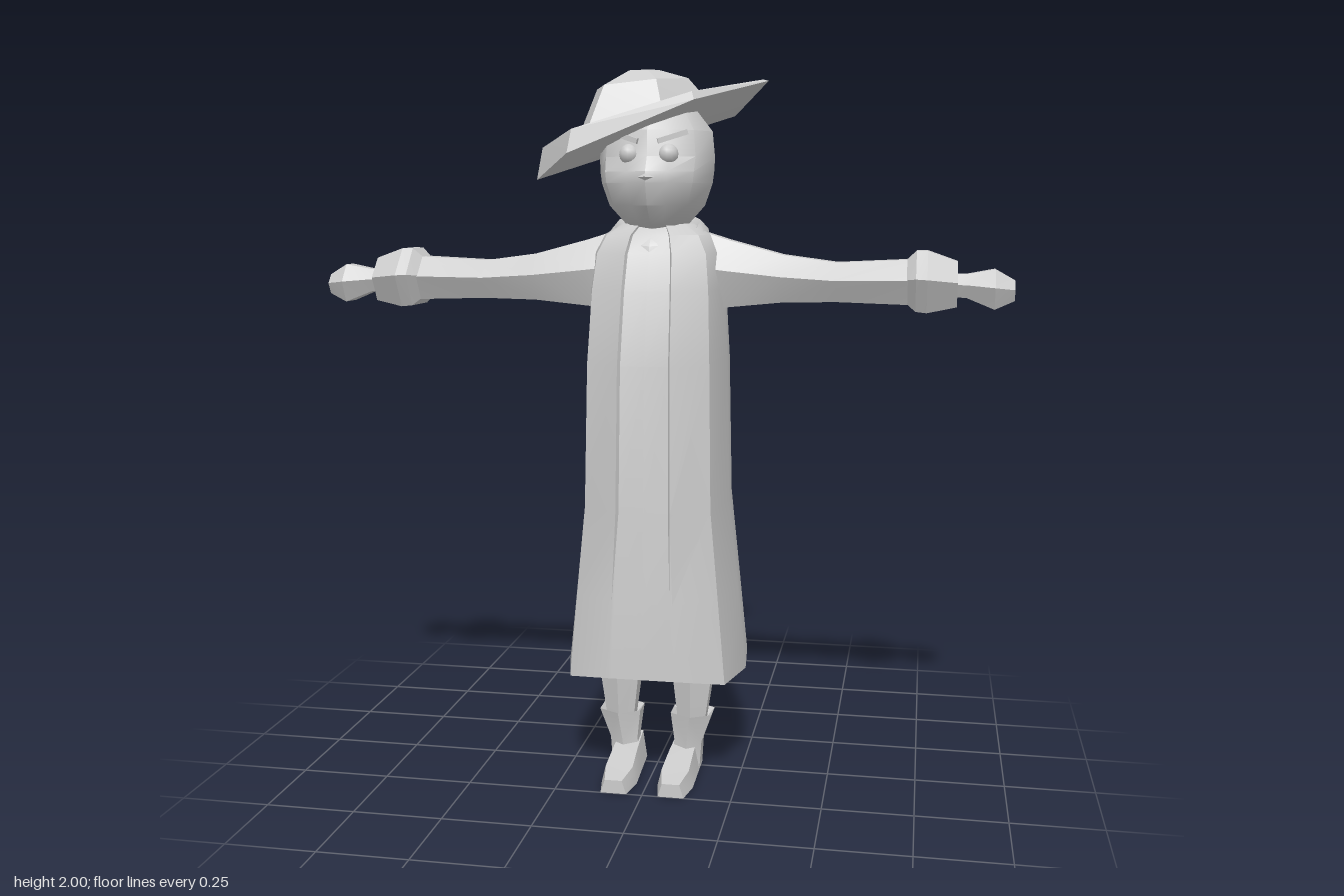
import * as THREE from 'three';
import { toCreasedNormals } from 'three/addons/utils/BufferGeometryUtils.js';

const cloth = new THREE.MeshStandardMaterial({ color: 0xcccccc, side: THREE.DoubleSide });
cloth.name = 'lightGrey';

// Skin closed rings of [x, y, z] points; winding is fixed by the signed volume.
function loft(rings, { start = true, end = true, crease = 0.6 } = {}) {
  const tris = [], n = rings[0].length;
  for (let i = 0; i < rings.length - 1; i++) {
    for (let j = 0; j < n; j++) {
      const k = (j + 1) % n, a = rings[i], b = rings[i + 1];
      tris.push([a[j], a[k], b[k]], [a[j], b[k], b[j]]);
    }
  }
  const cap = (ring, flip) => {
    const c = [0, 1, 2].map((d) => ring.reduce((s, p) => s + p[d], 0) / n);
    for (let j = 0; j < n; j++) {
      const k = (j + 1) % n;
      tris.push(flip ? [c, ring[k], ring[j]] : [c, ring[j], ring[k]]);
    }
  };
  if (start) cap(rings[0], true);
  if (end) cap(rings[rings.length - 1], false);
  const mid = new THREE.Vector3(...rings[0][0]);
  const vol = tris.reduce((s, t) => {
    const [a, b, c] = t.map((p) => new THREE.Vector3(...p).sub(mid));
    return s + a.dot(b.cross(c));
  }, 0);
  if (vol < 0) tris.forEach((t) => t.reverse());
  const g = new THREE.BufferGeometry();
  g.setAttribute('position', new THREE.Float32BufferAttribute(tris.flat(2), 3));
  return toCreasedNormals(g, crease);
}

// Mirror a half outline running from the front centre to the back centre.
const mirrorOutline = (half) => [...half, ...half.slice(1, -1).reverse().map(([x, z]) => [-x, z])];

// Horizontal ring from a unit outline, with separate front and back depths.
const levelRing = (outline, [y, hx, front, back]) =>
  outline.map(([x, z]) => [x * hx, y, z > 0 ? z * front : -z * back]);

// Six-sided ring across an arm.
const armRing = (s, [x, y0, y1, front, back]) => {
  const w = front - back, m = y0 + (y1 - y0) * 0.55;
  return [[y0, front - w * 0.22], [m, front], [y1, front - w * 0.3],
    [y1, back + w * 0.28], [m, back], [y0, back + w * 0.18]].map(([y, z]) => [s * x, y, z]);
};

export function createModel() {
  const model = new THREE.Group();
  const add = (name, geometry) => {
    const mesh = new THREE.Mesh(geometry, cloth);
    mesh.name = name;
    model.add(mesh);
    return mesh;
  };

  // Long coat, open at the hem, with a recessed front placket
  const coatHalf = [[0, 1], [0.33, 1], [0.36, 1], [0.85, 0.7], [1, 0.05], [0.93, -0.62], [0.52, -0.94], [0, -1]];
  const coatOutline = mirrorOutline(coatHalf);
  const coatLevels = [
    [0.31, 0.26, 0.25, -0.28], [0.55, 0.235, 0.245, -0.262], [0.8, 0.208, 0.235, -0.247],
    [1.2, 0.2, 0.22, -0.23], [1.4, 0.19, 0.178, -0.2], [1.5, 0.178, 0.147, -0.17],
    [1.55, 0.15, 0.12, -0.14], [1.58, 0.1, 0.08, -0.11],
  ];
  const coatRings = coatLevels.map((level) => {
    const ring = levelRing(coatOutline, level);
    const n = ring.length;
    if (level[0] > 0.7) [0, 1, n - 1].forEach((i) => { ring[i][2] -= 0.012; });
    if (level[0] < 0.4) ring.forEach((p) => { if (p[2] > 0.2) p[1] += 0.025; });
    return ring;
  });
  add('coat', loft(coatRings, { start: false }));

  // Turned collar, higher at the back
  const collarRing = (r, lift) => Array.from({ length: 10 }, (_, i) => {
    const a = (i / 10) * Math.PI * 2, z = Math.cos(a);
    return [Math.sin(a) * 0.145 * r, 1.545 + lift - z * 0.035, z * 0.125 * r + 0.005];
  });
  add('collar', loft([collarRing(1.06, -0.035), collarRing(1.0, 0.01), collarRing(0.84, 0.035),
    collarRing(0.66, 0.0)], { start: false, end: false }));
  const neck = add('neck', new THREE.CylinderGeometry(0.075, 0.08, 0.12, 8));
  neck.position.set(0, 1.56, 0.01);

  // Head
  const headOutline = mirrorOutline([[0, 1], [0.35, 0.88], [0.76, 0.68], [1, 0.08], [0.8, -0.65], [0.42, -0.93], [0, -1]]);
  add('head', loft([
    [1.555, 0.04, 0.06, -0.02], [1.58, 0.09, 0.115, -0.05], [1.63, 0.135, 0.165, -0.09],
    [1.69, 0.156, 0.19, -0.117], [1.72, 0.16, 0.19, -0.125], [1.76, 0.162, 0.163, -0.13],
    [1.83, 0.155, 0.157, -0.128], [1.9, 0.1, 0.1, -0.1],
  ].map((l) => levelRing(headOutline, l)), { crease: 0.75 }));

  // Pointed nose
  const nose = add('nose', toCreasedNormals(new THREE.ConeGeometry(0.035, 0.05, 4), 0.3));
  nose.rotation.x = Math.PI / 2;
  nose.scale.set(1.2, 1, 0.8);
  nose.position.set(0, 1.705, 0.182);

  // Hat: tilted six-sided brim and faceted crown
  const brim = [[-0.25, 1.755, -0.24], [0.185, 1.885, -0.23], [0.305, 1.965, -0.01],
    [0.14, 1.9, 0.25], [-0.19, 1.765, 0.285], [-0.33, 1.7, 0.065]];
  const brimTop = brim.map(([x, , z]) => [x * 0.95, 1.882 + 0.3 * x * 0.95, z * 0.95]);
  add('hatBrim', loft([brim, brimTop], { crease: 0.25 }));
  const base = [[-0.12, -0.1], [0.075, -0.12], [0.14, 0], [0.035, 0.14], [-0.165, 0.185], [-0.225, 0.045]];
  const crownRing = (s, rise, tilt) => base.map(([x, z]) => {
    const px = -0.035 + (x + 0.04) * s, pz = 0.035 + (z - 0.025) * s;
    return [px, 1.875 + rise + tilt * px, pz];
  });
  add('hatCrown', loft([crownRing(1, -0.01, 0.3), crownRing(0.68, 0.088, 0.12),
    crownRing(0.24, 0.12, 0.05)], { crease: 0.2 }));

  for (const s of [1, -1]) {
    const side = s > 0 ? 'left' : 'right';

    // Eyes and slanted brows
    const eye = add(side + 'Eye', new THREE.SphereGeometry(0.028, 12, 8));
    eye.position.set(s * 0.053, 1.766, 0.136);
    const brow = add(side + 'Brow', new THREE.BoxGeometry(0.085, 0.014, 0.03));
    brow.position.set(s * 0.062, 1.812, 0.13);
    brow.rotation.set(0, s * 0.35, s * 0.3);

    // Sleeve, flared cuff and fist
    add(side + 'Sleeve', loft([
      [0.12, 1.34, 1.56, 0.055, -0.11], [0.2, 1.35, 1.535, 0.06, -0.11], [0.35, 1.365, 1.495, 0.06, -0.105],
      [0.5, 1.368, 1.475, 0.055, -0.105], [0.71, 1.362, 1.485, 0.058, -0.11],
    ].map((r) => armRing(s, r)), { crease: 0.7 }));
    add(side + 'Cuff', loft([
      [0.685, 1.37, 1.48, 0.05, -0.1], [0.715, 1.345, 1.508, 0.082, -0.132], [0.745, 1.342, 1.508, 0.09, -0.14],
      [0.825, 1.358, 1.48, 0.062, -0.11], [0.8, 1.375, 1.46, 0.035, -0.085],
    ].map((r) => armRing(s, r)), { crease: 0.35 }));
    add(side + 'Hand', loft([
      [0.78, 1.385, 1.445, 0.01, -0.06], [0.85, 1.382, 1.446, 0.018, -0.065],
      [0.925, 1.352, 1.46, 0.042, -0.085], [0.978, 1.375, 1.43, 0.015, -0.06],
    ].map((r) => armRing(s, r)), { crease: 0.3 }));

    // Leg, tapering into the boot: [y, inner x, outer x, front, back]
    const legRing = ([y, x0, x1, f, b]) => {
      const m = (x0 + x1) / 2, z = (f + b) / 2;
      return Array.from({ length: 6 }, (_, i) => {
        const a = (i / 6) * Math.PI * 2;
        return [s * (m + Math.sin(a) * (x1 - x0) * 0.575), y, z + Math.cos(a) * (f - b) / 2];
      });
    };
    add(side + 'Leg', loft([[0.6, 0.02, 0.19, 0.1, -0.1], [0.33, 0.045, 0.17, 0.082, -0.08],
      [0.15, 0.065, 0.145, 0.06, -0.04]].map(legRing), { crease: 0.4 }));
    add(side + 'BootShaft', loft([[0.14, 0.07, 0.14, 0.04, -0.03], [0.17, 0.045, 0.165, 0.075, -0.062],
      [0.085, 0.055, 0.135, 0.058, -0.04], [0.01, 0.045, 0.13, 0.06, -0.05]].map(legRing), { crease: 0.3 }));

    // Foot with a low toe: [z, inner x, outer x, top]
    add(side + 'Foot', loft([[-0.055, 0.045, 0.12, 0.03], [-0.04, 0.04, 0.128, 0.08], [0.07, 0.035, 0.13, 0.068],
      [0.17, 0.03, 0.132, 0.048], [0.25, 0.045, 0.118, 0.038]].map(([z, x0, x1, t]) =>
      [[s * x0, 0, z], [s * x1, 0, z], [s * (x1 - 0.012), t, z], [s * (x0 + 0.012), t, z]]), { crease: 0.25 }));
  }
  return model;
}
